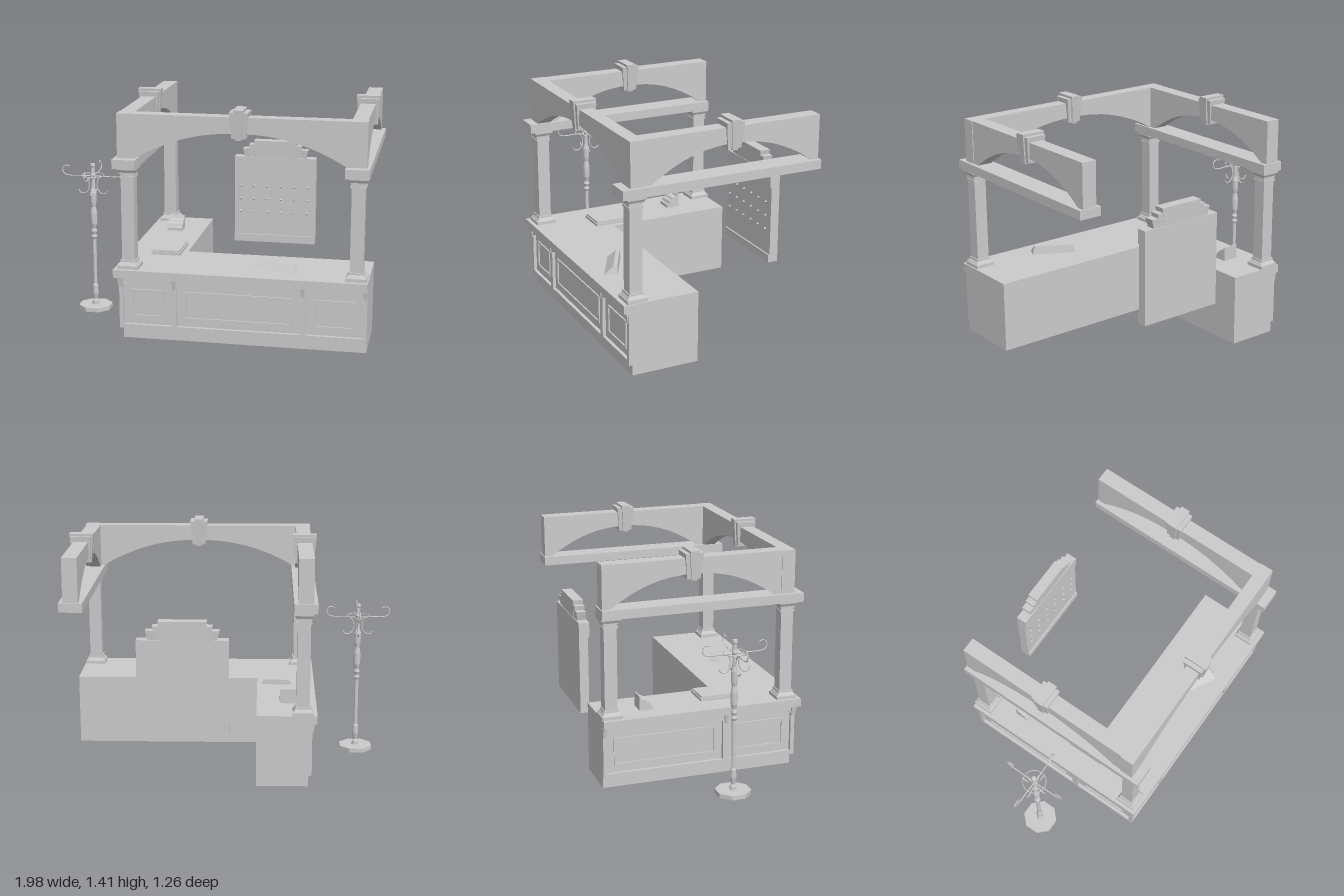
import * as THREE from 'three';

const mat = new THREE.MeshStandardMaterial({ color: 0xcccccc, flatShading: true });
const V = (x, y, z = 0) => new THREE.Vector3(x, y, z);

function add(parent, name, geo) {
  const m = new THREE.Mesh(geo, mat);
  m.name = name;
  parent.add(m);
  return m;
}

function group(parent, name) {
  const g = new THREE.Group();
  g.name = name;
  parent.add(g);
  return g;
}

// Box given by its limits on each axis
function box(parent, name, x0, x1, y0, y1, z0, z1) {
  const g = new THREE.BoxGeometry(x1 - x0, y1 - y0, z1 - z0);
  return add(parent, name, g.translate((x0 + x1) / 2, (y0 + y1) / 2, (z0 + z1) / 2));
}

// Box whose bottom (w0 x d0) and top (w1 x d1) differ, standing on y0
function taper(parent, name, w0, d0, w1, d1, y0, y1, xBottom = 0, xTop = 0) {
  const g = new THREE.BoxGeometry(1, 1, 1);
  const p = g.attributes.position;
  for (let i = 0; i < p.count; i++) {
    const up = p.getY(i) > 0;
    p.setXYZ(i, p.getX(i) * (up ? w1 : w0) + (up ? xTop : xBottom), up ? y1 : y0, p.getZ(i) * (up ? d1 : d0));
  }
  g.computeVertexNormals();
  return add(parent, name, g);
}

const poly = pts => new THREE.Shape(pts.map(p => new THREE.Vector2(p[0], p[1])));
const rect = (x0, x1, y0, y1) => [[x0, y0], [x1, y0], [x1, y1], [x0, y1]];
const extrude = (shape, depth) => new THREE.ExtrudeGeometry(shape, { depth, bevelEnabled: false });

// L-shaped block: front run plus the arm going back
function lBlock(parent, name, x0, zFront, y0, y1) {
  const s = poly([[x0, -zFront], [0.98, -zFront], [0.98, -0.165], [-0.17, -0.165], [-0.17, 0.625], [x0, 0.625]]);
  add(parent, name, extrude(s, y1 - y0).rotateX(-Math.PI / 2).translate(0, y0, 0));
}

// Framed panelling on a wall; spans lists the panels, z is the wall face
function panelling(parent, a, b, spans, z) {
  const y0 = 0.065, y1 = 0.385;
  const frame = poly(rect(a, b, y0, y1));
  for (const [p, q] of spans) {
    const t = 0.355, r = 0.018;
    frame.holes.push(new THREE.Path(poly([[p, 0.092], [q, 0.092], [q, t - r], [q - r, t], [p + r, t], [p, t - r]]).getPoints()));
    const k = 0.045;
    const ring = poly(rect(p + k, q - k, 0.092 + k, t - k));
    ring.holes.push(new THREE.Path(poly(rect(p + k + 0.012, q - k - 0.012, 0.104 + k, t - k - 0.012)).getPoints()));
    add(parent, 'panelMoulding', extrude(ring, 0.009).translate(0, 0, z));
  }
  add(parent, 'panelFrame', extrude(frame, 0.02).translate(0, 0, z));
  // Small brackets on the stiles
  const stiles = [a + 0.012, ...spans.slice(1).map((s, i) => (spans[i][1] + s[0]) / 2), b - 0.012];
  for (const x of stiles) {
    taper(parent, 'bracket', 0.016, 0.02, 0.026, 0.04, 0.325, 0.385).position.set(x, 0, z + 0.015);
  }
}

// Beam with an arched underside from u0 to u1
function arch(parent, a, b, u0, u1, z0, z1) {
  const pts = [[b, 1.105], [b, 1.37], [a, 1.37], [a, 1.105]];
  for (let i = 0; i <= 16; i++) {
    const t = i / 8 - 1;
    pts.push([u0 + (u1 - u0) * i / 16, 1.275 - 0.17 * Math.abs(t) ** 2.2]);
  }
  add(parent, 'archBeam', extrude(poly(pts), z1 - z0).translate(0, 0, z0));
}

function keystone(parent, u, z) {
  const g = group(parent, 'keystone');
  g.position.set(u, 0, z);
  taper(g, 'keystoneCentre', 0.034, 0.115, 0.058, 0.145, 1.237, 1.415);
  for (const s of [-1, 1]) {
    taper(g, 'keystoneSide', 0.024, 0.1, 0.028, 0.125, 1.245, 1.4, s * 0.03, s * 0.042);
  }
}

function column(parent, x, z) {
  const g = group(parent, 'column');
  g.position.set(x, 0, z);
  const layers = [ // bottom width, top width, y0, y1
    [0.125, 0.125, 0.435, 0.455], [0.115, 0.092, 0.455, 0.475], [0.092, 0.092, 0.475, 0.487],
    [0.078, 0.078, 0.487, 0.985], [0.09, 0.09, 0.985, 0.997], [0.08, 0.08, 0.997, 1.01],
    [0.09, 0.09, 1.01, 1.02], [0.092, 0.112, 1.02, 1.038], [0.115, 0.115, 1.038, 1.05]];
  for (const [w0, w1, y0, y1] of layers) taper(g, 'columnLayer', w0, w0, w1, w1, y0, y1);
}

function coatStand(parent) {
  const g = group(parent, 'coatStand');
  g.position.set(-0.8, 0, 0.08);
  add(g, 'standBase', new THREE.CylinderGeometry(0.108, 0.108, 0.026, 8).rotateY(Math.PI / 8).translate(0, 0.013, 0));
  const profile = [[0.022, 0.026], [0.02, 0.05], [0.012, 0.06], [0.02, 0.1], [0.018, 0.15], [0.012, 0.165],
    [0.013, 0.46], [0.02, 0.475], [0.013, 0.49], [0.02, 0.51], [0.013, 0.53], [0.021, 0.56], [0.022, 0.63],
    [0.015, 0.67], [0.02, 0.7], [0.022, 0.76], [0.014, 0.79], [0.013, 0.86], [0.018, 0.875], [0.013, 0.89],
    [0.013, 0.925], [0.017, 0.935], [0.014, 0.95], [0, 0.953]];
  add(g, 'standPole', new THREE.LatheGeometry(profile.map(p => new THREE.Vector2(...p)), 10));
  add(g, 'standRing', new THREE.TorusGeometry(0.07, 0.003, 5, 24).rotateX(Math.PI / 2).translate(0, 0.873, 0));
  const upper = [[0.01, 0.868], [0.08, 0.868], [0.15, 0.867], [0.185, 0.876], [0.197, 0.9], [0.188, 0.925], [0.165, 0.93], [0.15, 0.922]];
  const lower = [[0.085, 0.868], [0.05, 0.862], [0.03, 0.84], [0.026, 0.8], [0.037, 0.77], [0.06, 0.755], [0.083, 0.76], [0.094, 0.778]];
  for (let i = 0; i < 4; i++) {
    for (const path of [upper, lower]) {
      const curve = new THREE.CatmullRomCurve3(path.map(p => V(...p)));
      add(g, 'coatHook', new THREE.TubeGeometry(curve, 24, 0.004, 6)).rotation.y = i * Math.PI / 2;
    }
  }
}

function keyBoard(parent) {
  const g = group(parent, 'keyBoard');
  box(g, 'boardPanel', -0.01, 0.53, 0.31, 0.8, -0.628, -0.572);
  box(g, 'boardHeader', -0.01, 0.53, 0.8, 0.89, -0.628, -0.562);
  box(g, 'boardFoot', -0.01, 0.53, 0.31, 0.36, -0.628, -0.562);
  // Stepped, flared crest
  taper(g, 'crestCentre', 0.255, 0.06, 0.285, 0.066, 0.89, 1.0).position.set(0.26, 0, -0.595);
  for (const s of [-1, 1]) {
    taper(g, 'crestStep', 0.045, 0.056, 0.045, 0.062, 0.89, 0.972, s * 0.14, s * 0.153).position.set(0.26, 0, -0.595);
    taper(g, 'crestEnd', 0.05, 0.052, 0.056, 0.06, 0.89, 0.945, s * 0.178, s * 0.188).position.set(0.26, 0, -0.595);
  }
  for (let r = 0; r < 3; r++) for (let c = 0; c < 6; c++) {
    add(g, 'keyPeg', new THREE.OctahedronGeometry(0.011).translate(0.03 + c * 0.089, 0.517 + r * 0.088, -0.567));
  }
}

export function createModel() {
  const root = new THREE.Group();
  root.name = 'receptionDesk';

  // Desk; the side group maps local x to z and local z to -x
  const desk = group(root, 'desk');
  lBlock(desk, 'deskBody', -0.48, 0.58, 0, 0.386);
  lBlock(desk, 'deskTop', -0.53, 0.628, 0.386, 0.435);
  panelling(desk, -0.5, 0.98, [[-0.475, -0.185], [-0.15, 0.585], [0.62, 0.955]], 0.58);
  const side = group(desk, 'deskSide');
  side.rotation.y = -Math.PI / 2;
  panelling(side, -0.625, 0.6, [[-0.6, 0.13], [0.17, 0.575]], 0.48);

  // Columns
  for (const [x, z] of [[-0.445, 0.54], [0.91, 0.54], [-0.445, -0.567]]) column(root, x, z);

  // Canopy: front arch and two side arches on straight beams
  const canopy = group(root, 'canopy');
  arch(canopy, -0.505, 0.955, -0.4, 0.84, 0.492, 0.575);
  keystone(canopy, 0.217, 0.53);
  for (const x of [-0.455, 0.905]) {
    box(canopy, 'sideBeam', x - 0.07, x + 0.07, 1.05, 1.105, -0.625, 0.628);
    const g = group(canopy, 'sideArch');
    g.rotation.y = -Math.PI / 2;
    arch(g, -0.618, 0.492, -0.57, 0.445, -x - 0.045, -x + 0.045);
    keystone(g, -0.063, -x);
  }

  // Ledger on the arm
  box(root, 'ledgerCover', -0.38, -0.2, 0.435, 0.452, 0.03, 0.27);
  box(root, 'ledgerPages', -0.373, -0.207, 0.452, 0.463, 0.037, 0.263);

  // Card holder with a stepped, curved front
  const holder = poly([[-0.285, 0.435], [-0.285, 0.455], [-0.298, 0.458], [-0.305, 0.478], [-0.32, 0.483],
    [-0.328, 0.497], [-0.355, 0.503], [-0.362, 0.522], [-0.37, 0.522], [-0.37, 0.435]].reverse());
  add(root, 'cardHolder', extrude(holder, 0.1).rotateY(-Math.PI / 2).translate(-0.31, 0, 0));

  // Wedge-shaped desk sign, turned on the counter
  const wedge = taper(root, 'deskSign', 0.277, 0.08, 0.245, 0.022, 0, 0.052);
  const p = wedge.geometry.attributes.position;
  for (let i = 0; i < p.count; i++) if (p.getY(i) > 0.01) p.setZ(i, p.getZ(i) - 0.024);
  wedge.geometry.computeVertexNormals();
  wedge.position.set(0.424, 0.435, 0.445);
  wedge.rotation.y = -0.488;

  keyBoard(root);
  coatStand(root);
  return root;
}
